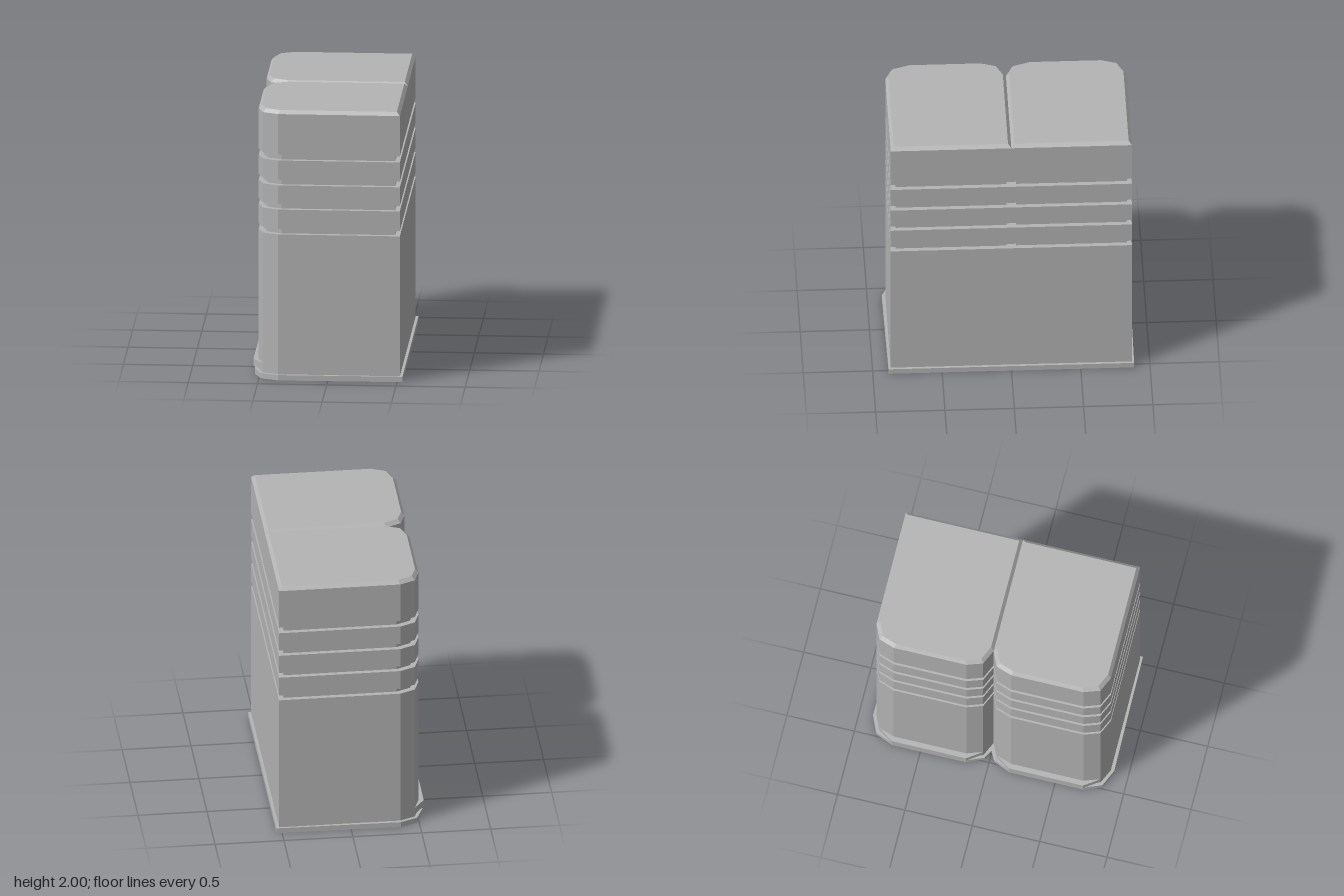
import * as THREE from 'three';

const DEPTH = 0.87, X0 = -0.51, X1 = 0.52;

// Plan of one cabinet: square corners at +x, faceted corners at -x
const PLAN = [
  [X1, DEPTH], [X1, 0], [-0.36, 0], [-0.47, 0.05],
  [X0, 0.165], [X0, 0.705], [-0.47, 0.82], [-0.36, DEPTH],
];

// Plan shrunk by d on every side
function insetPlan(d) {
  const cx = (X0 + X1) / 2, cz = DEPTH / 2;
  const sx = 1 - (2 * d) / (X1 - X0), sz = 1 - (2 * d) / DEPTH;
  return PLAN.map(([x, z]) => [cx + (x - cx) * sx, cz + (z - cz) * sz]);
}

// Flat-sided solid through stacked [height, inset] rings
function stack(rings) {
  const loops = rings.map(([y, d]) => insetPlan(d).map(([x, z]) => [x, y, z]));
  const n = PLAN.length, pos = [];
  const tri = (a, b, c) => pos.push(...a, ...b, ...c);
  for (let r = 0; r < loops.length - 1; r++) {
    const lo = loops[r], hi = loops[r + 1];
    for (let i = 0; i < n; i++) {
      const j = (i + 1) % n;
      tri(lo[i], lo[j], hi[j]);
      tri(lo[i], hi[j], hi[i]);
    }
  }
  const bottom = loops[0], top = loops[loops.length - 1];
  for (let i = 1; i < n - 1; i++) {
    tri(top[0], top[i], top[i + 1]);
    tri(bottom[0], bottom[i + 1], bottom[i]);
  }
  const g = new THREE.BufferGeometry();
  g.setAttribute('position', new THREE.Float32BufferAttribute(pos, 3));
  g.computeVertexNormals();
  return g;
}

// Horizontal plate from an [x, z] outline
function plate(points, y, height) {
  const shape = new THREE.Shape(points.map(([x, z]) => new THREE.Vector2(x, -z)));
  const g = new THREE.ExtrudeGeometry(shape, { depth: height, bevelEnabled: false });
  return g.rotateX(-Math.PI / 2).translate(0, y, 0);
}

export function createModel() {
  const model = new THREE.Group();
  const grey = new THREE.MeshStandardMaterial({ color: 0xb4b4b4, flatShading: true });
  grey.name = 'grey';
  const add = (name, geometry, parent) => {
    const mesh = new THREE.Mesh(geometry, grey);
    mesh.name = name;
    parent.add(mesh);
  };

  // Shared base plate with a notch between the cabinets
  const half = [[0.54, 0.885], [-0.36, 0.895], [-0.485, 0.84], [-0.538, 0.71], [-0.538, 0.16], [-0.485, 0.035]];
  const mirrored = half.map(([x, z]) => [x, -z]).reverse();
  add('basePlate', plate([...half, [-0.42, 0], ...mirrored], 0, 0.04), model);

  // Body rings: four grooves, then a bevelled top
  const rings = [[0.04, 0]];
  for (const [y0, y1] of [[1.08, 1.12], [1.265, 1.305], [1.445, 1.487], [1.63, 1.675]]) {
    rings.push([y0, 0], [y0, 0.035], [y1, 0.035], [y1, 0]);
  }
  rings.push([1.975, 0], [2, 0.023]);

  // Two identical cabinets side by side, each with a low ledge on its faceted face
  const body = stack(rings);
  const ledge = plate([[-0.47, 0.05], [-0.548, 0.16], [-0.548, 0.71], [-0.47, 0.82]], 0.06, 0.05);
  for (const [name, z] of [['frontCabinet', 0], ['backCabinet', -DEPTH]]) {
    const cabinet = new THREE.Group();
    cabinet.name = name;
    cabinet.position.z = z;
    add('groovedBody', body, cabinet);
    add('ledge', ledge, cabinet);
    model.add(cabinet);
  }
  return model;
}
